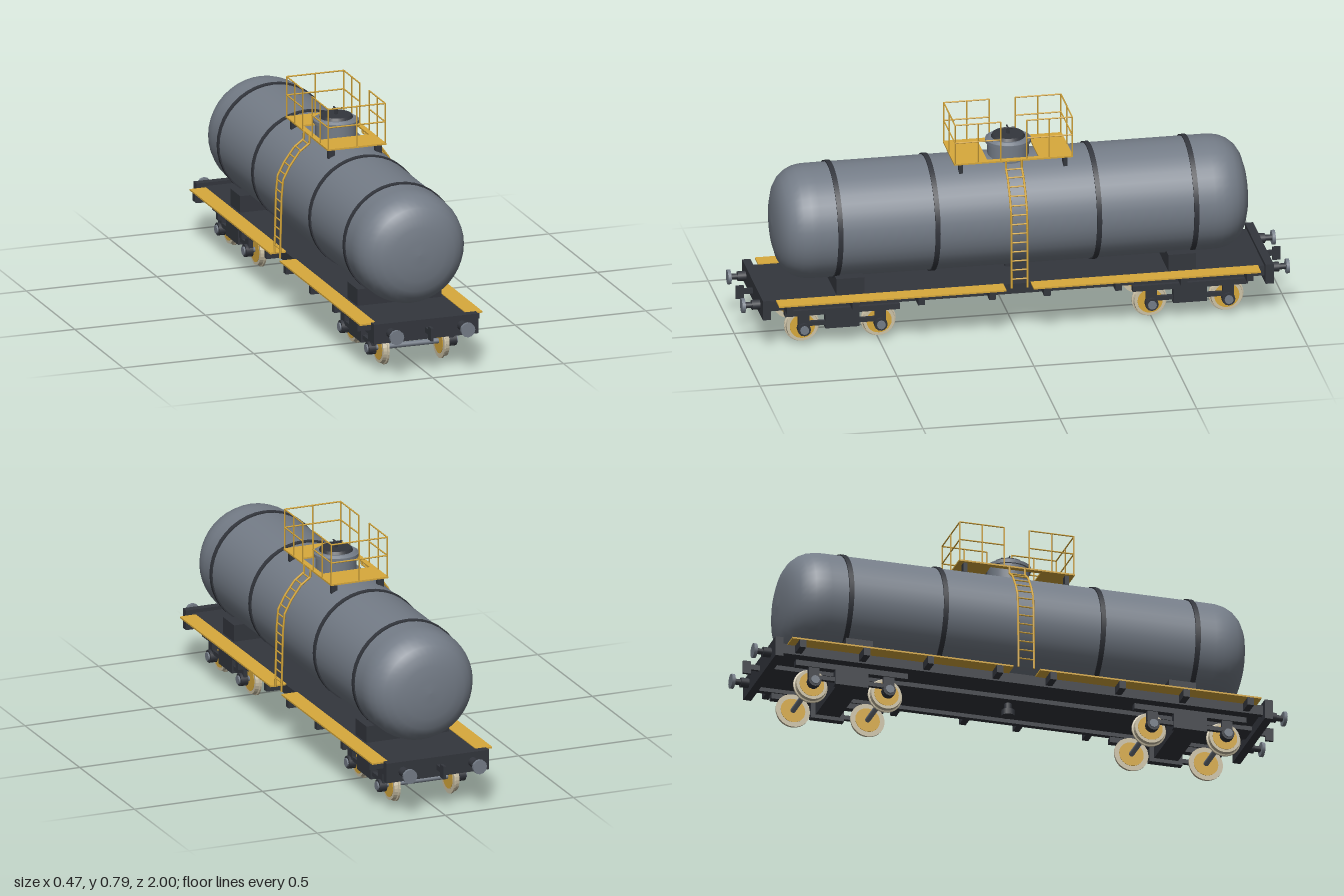
import * as THREE from 'three';

const mat = (name, color, extra = {}) => Object.assign(new THREE.MeshStandardMaterial({ color, ...extra }), { name });

export function createModel() {
  const model = new THREE.Group();
  model.name = 'tankWagon';
  const grey = mat('tankGrey', 0x747c87);
  const dark = mat('frameDark', 0x33363d);
  const yellow = mat('safetyYellow', 0xd8a93c);
  const cream = mat('wheelCream', 0xcdc3a8);

  // Helpers: mesh, box given by its limits, rod between two points, cylinder along an axis
  const add = (name, geo, m, parent = model) => {
    const mesh = new THREE.Mesh(geo, m);
    mesh.name = name;
    parent.add(mesh);
    return mesh;
  };
  const box = (name, m, [x0, x1], [y0, y1], [z0, z1], parent = model) => add(name,
    new THREE.BoxGeometry(Math.abs(x1 - x0), y1 - y0, Math.abs(z1 - z0))
      .translate((x0 + x1) / 2, (y0 + y1) / 2, (z0 + z1) / 2), m, parent);
  const rod = (name, m, a, b, r = 0.003, parent = model, sides = 6) => {
    const p = new THREE.Vector3(...a), q = new THREE.Vector3(...b);
    const mesh = add(name, new THREE.CylinderGeometry(r, r, p.distanceTo(q), sides), m, parent);
    mesh.position.copy(p).lerp(q, 0.5);
    mesh.quaternion.setFromUnitVectors(new THREE.Vector3(0, 1, 0), q.sub(p).normalize());
    return mesh;
  };
  const lathe = (pts, seg) => new THREE.LatheGeometry(pts.map(p => new THREE.Vector2(...p)), seg);
  const group = (name) => {
    const g = new THREE.Group();
    g.name = name;
    model.add(g);
    return g;
  };

  // Tank barrel with dished ends
  const end = [[0, 0.866], [0.05, 0.864], [0.1, 0.858], [0.14, 0.846], [0.168, 0.829],
    [0.188, 0.806], [0.201, 0.779], [0.207, 0.75], [0.208, 0.72]];
  const profile = [...end.map(([r, z]) => [r, -z]), ...[...end].reverse()];
  add('tank', lathe(profile, 40).rotateX(Math.PI / 2), grey).position.y = 0.419;
  for (const z of [-0.65, -0.295, 0.295, 0.65]) {
    add('tankBand', new THREE.CylinderGeometry(0.213, 0.213, 0.018, 40).rotateX(Math.PI / 2), dark)
      .position.set(0, 0.419, z);
  }

  // Filling dome with flange, lid and handle
  add('dome', lathe([[0.075, 0.59], [0.075, 0.672]], 24), grey);
  add('domeFlange', new THREE.CylinderGeometry(0.083, 0.083, 0.012, 24), grey).position.y = 0.678;
  add('domeShoulder', new THREE.CylinderGeometry(0.07, 0.08, 0.008, 24), grey).position.y = 0.688;
  add('lid', new THREE.CylinderGeometry(0.056, 0.063, 0.012, 24), dark).position.y = 0.696;
  rod('lidStem', dark, [0, 0.69, 0], [0, 0.722, 0], 0.006);
  rod('lidHandle', dark, [-0.025, 0.722, 0], [0.025, 0.722, 0]);
  rod('lidHandle', dark, [0, 0.722, -0.025], [0, 0.722, 0.025]);

  // Top platform with an opening around the dome
  const rect = (shape, x, y) => shape.moveTo(-x, -y).lineTo(x, -y).lineTo(x, y).lineTo(-x, y).closePath();
  const plate = rect(new THREE.Shape(), 0.112, 0.217);
  plate.holes.push(rect(new THREE.Path(), 0.092, 0.094));
  add('platform', new THREE.ExtrudeGeometry(plate, { depth: 0.006, bevelEnabled: false }).rotateX(Math.PI / 2), yellow)
    .position.y = 0.643;

  // Railings and platform legs at both ends of the platform
  const railing = group('railing');
  const X = 0.109, Z = 0.214, TOP = 0.792;
  for (const s of [-1, 1]) {
    for (const y of [TOP, 0.723]) {
      rod('endRail', yellow, [-X, y, s * Z], [X, y, s * Z], 0.0028, railing);
      for (const t of [-1, 1]) rod('sideRail', yellow, [t * X, y, s * 0.047], [t * X, y, s * Z], 0.0028, railing);
    }
    rod('post', yellow, [0, 0.64, s * Z], [0, TOP, s * Z], 0.0028, railing);
    for (const t of [-1, 1]) {
      for (const z of [0.047, 0.13, Z]) rod('post', yellow, [t * X, 0.64, s * z], [t * X, TOP, s * z], 0.0028, railing);
      box('platformLeg', dark, [t * 0.078, t * 0.102], [0.585, 0.637], [s * 0.183, s * 0.198]);
    }
  }

  // Ladders following the tank on both sides
  const path = [[0.112, 0.642], [0.113, 0.612], [0.15, 0.585], [0.188, 0.533], [0.213, 0.485], [0.219, 0.42], [0.225, 0.192]];
  const curve = new THREE.CurvePath();
  for (let i = 1; i < path.length; i++) {
    curve.add(new THREE.LineCurve3(new THREE.Vector3(...path[i - 1], 0), new THREE.Vector3(...path[i], 0)));
  }
  for (const s of [-1, 1]) {
    const ladder = group('ladder');
    for (const z of [-0.029, 0.029]) {
      for (let i = 1; i < path.length; i++) {
        const [a, b] = [path[i - 1], path[i]];
        rod('ladderRail', yellow, [s * a[0], a[1], z], [s * b[0], b[1], z], 0.004, ladder);
      }
    }
    for (let i = 1; i < 14; i++) {
      const p = curve.getPointAt(i / 14);
      rod('rung', yellow, [s * p.x, p.y, -0.029], [s * p.x, p.y, 0.029], 0.003, ladder);
    }
  }

  // Underframe, side walkways and bottom valve
  box('deck', dark, [-0.172, 0.172], [0.165, 0.188], [-0.91, 0.91]);
  box('centreSill', dark, [-0.04, 0.04], [0.148, 0.17], [-0.91, 0.91]);
  for (const s of [-1, 1]) {
    box('sideSill', dark, [s * 0.155, s * 0.175], [0.15, 0.188], [-0.91, 0.91]);
    for (const t of [-1, 1]) {
      box('walkway', yellow, [s * 0.172, s * 0.234], [0.185, 0.191], [t * 0.05, t * 0.88]);
      for (const z of [0.1, 0.36, 0.6, 0.84]) {
        box('walkwayBracket', dark, [s * 0.17, s * 0.233], [0.156, 0.185], [t * (z - 0.012), t * (z + 0.012)]);
      }
    }
  }
  rod('valveStem', dark, [0, 0.11, 0], [0, 0.22, 0], 0.014, model, 12);
  rod('valveCap', dark, [0, 0.1, 0], [0, 0.122, 0], 0.025, model, 12);

  // Wheel profile around its axle: flange on the inner side, narrower tread outside
  const wheelGeo = lathe([[0, 0], [0.064, 0], [0.064, 0.006], [0.059, 0.008], [0.057, 0.022], [0, 0.022]], 28)
    .toNonIndexed();
  wheelGeo.computeVertexNormals();
  const discGeo = new THREE.CylinderGeometry(0.046, 0.046, 0.003, 24);

  for (const s of [-1, 1]) {
    // End beam, coupling and buffers
    box('endBeam', dark, [-0.2, 0.2], [0.127, 0.201], [s * 0.903, s * 0.933]);
    box('couplingBar', dark, [-0.005, 0.005], [0.152, 0.172], [s * 0.93, s * 0.975]);
    box('couplingHook', dark, [-0.005, 0.005], [0.135, 0.184], [s * 0.965, s * 0.995]);
    for (const t of [-1, 1]) {
      const x = t * 0.136, y = 0.164;
      const base = rod('bufferBase', dark, [x, y, s * 0.93], [x, y, s * 0.963], 0.018, model, 12);
      base.scale.set(1, 1, 1);
      rod('bufferStem', dark, [x, y, s * 0.96], [x, y, s * 0.99], 0.011, model, 12);
      rod('bufferHead', grey, [x, y, s * 0.988], [x, y, s], 0.027, model, 12);
    }
    // Tank saddle
    box('saddle', dark, [-0.161, 0.161], [0.186, 0.25], [s * 0.555, s * 0.657]);

    // Bogie
    const bogie = group('bogie');
    bogie.position.z = s * 0.635;
    box('bolster', dark, [-0.142, 0.142], [0.076, 0.128], [-0.045, 0.045], bogie);
    rod('pivot', dark, [0, 0.12, 0], [0, 0.17, 0], 0.04, bogie, 16);
    for (const t of [-1, 1]) {
      box('sideFrame', dark, [t * 0.136, t * 0.162], [0.117, 0.138], [-0.21, 0.21], bogie);
      box('springBlock', dark, [t * 0.136, t * 0.162], [0.062, 0.118], [-0.062, 0.062], bogie);
      box('lowerBar', dark, [t * 0.142, t * 0.156], [0.074, 0.09], [-0.14, 0.14], bogie);
    }
    for (const z of [-0.14, 0.14]) {
      rod('axle', grey, [-0.15, 0.064, z], [0.15, 0.064, z], 0.01, bogie, 12);
      for (const t of [-1, 1]) {
        const wheel = add('wheel', wheelGeo, cream, bogie);
        wheel.rotation.z = -t * Math.PI / 2;
        wheel.position.set(t * 0.105, 0.064, z);
        for (const x of [0.105, 0.127]) {
          const disc = add('wheelDisc', discGeo, yellow, bogie);
          disc.rotation.z = Math.PI / 2;
          disc.position.set(t * x, 0.064, z);
        }
        box('axleGuard', dark, [t * 0.142, t * 0.158], [0.05, 0.12], [z - 0.02, z + 0.02], bogie);
        rod('axleBox', dark, [t * 0.14, 0.064, z], [t * 0.168, 0.064, z], 0.024, bogie, 12);
        rod('axleCap', grey, [t * 0.166, 0.064, z], [t * 0.174, 0.064, z], 0.016, bogie, 12);
      }
    }
  }
  return model;
}
